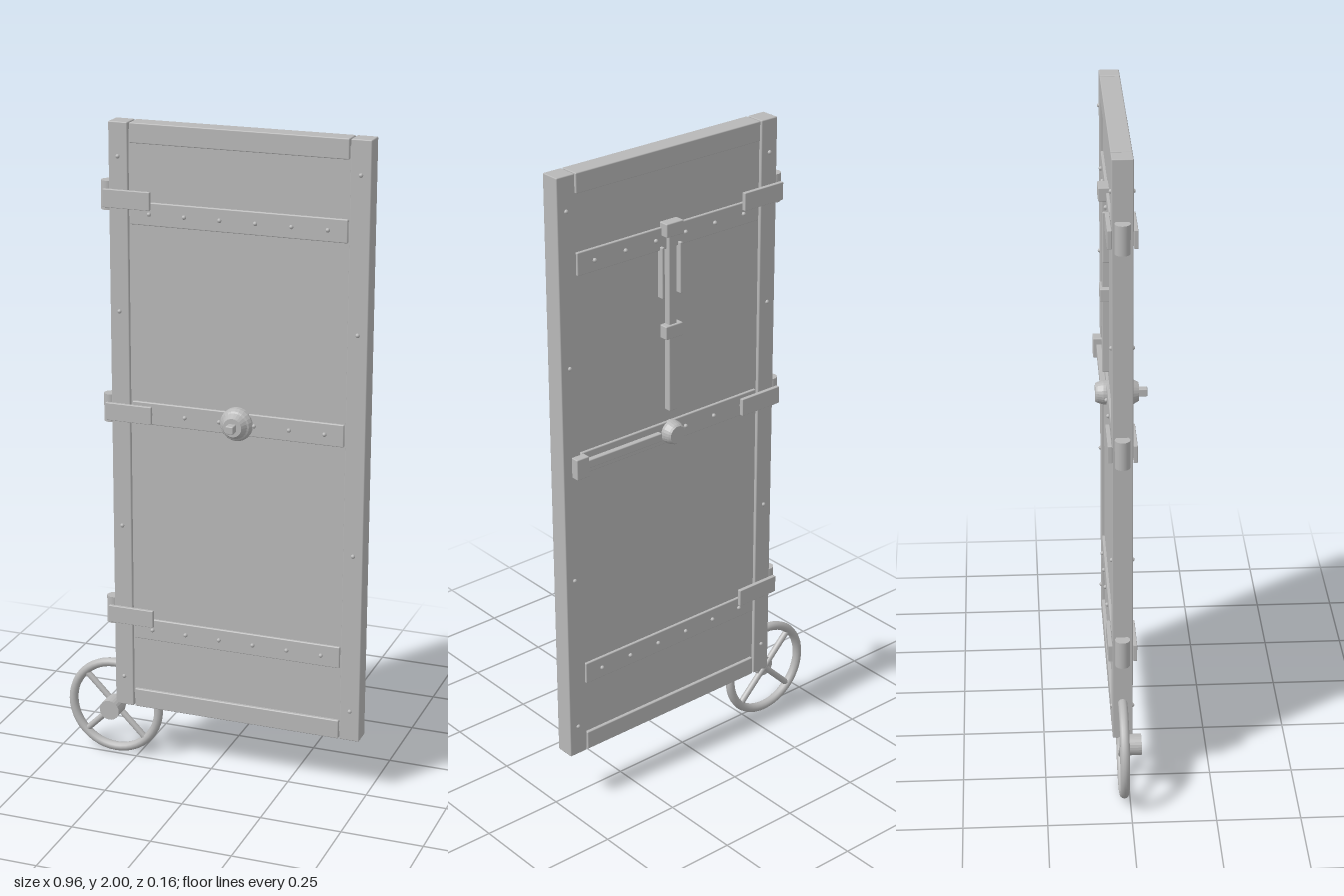
import * as THREE from 'three';
import { RoundedBoxGeometry } from 'three/addons/geometries/RoundedBoxGeometry.js';

const iron = new THREE.MeshStandardMaterial({ color: 0xb8b8b8 });
iron.name = 'iron grey';

export function createModel() {
  const model = new THREE.Group();
  model.name = 'door';

  const add = (name, geometry, x = 0, y = 0, z = 0, parent = model) => {
    const mesh = new THREE.Mesh(geometry, iron);
    mesh.name = name;
    mesh.position.set(x, y, z);
    parent.add(mesh);
    return mesh;
  };
  // Chamfered box given by its limits
  const block = (name, x0, x1, y0, y1, z0, z1, bevel = 0.003) => {
    const g = new RoundedBoxGeometry(x1 - x0, y1 - y0, z1 - z0, 1, bevel);
    return add(name, g, (x0 + x1) / 2, (y0 + y1) / 2, (z0 + z1) / 2);
  };
  // Rivet heads on both faces of the door
  const rivetGeometry = new THREE.SphereGeometry(0.0065, 10, 6);
  const rivet = (x, y, front, back) => {
    add('rivet', rivetGeometry, x, y, front);
    add('rivet', rivetGeometry, x, y, back);
  };
  // Turned part along z; points are [radius, z] from back to front
  const turned = (name, points, x, y, parent) => {
    const g = new THREE.LatheGeometry(points.map(p => new THREE.Vector2(...p)), 24);
    g.rotateX(Math.PI / 2);
    const flat = g.toNonIndexed();
    flat.computeVertexNormals();
    return add(name, flat, x, y, 0, parent);
  };

  // Frame and recessed panel
  const back = -0.049, front = 0.011;
  block('leftStile', 0.415, 0.476, 0.177, 2, back, front);
  block('rightStile', -0.312, -0.253, 0.177, 2, back, front);
  block('topRail', -0.248, 0.411, 1.941, 2, back, front);
  block('bottomRail', -0.248, 0.411, 0.177, 0.236, back, front);
  add('panel', new THREE.BoxGeometry(0.68, 1.78, 0.04), 0.081, 1.088, -0.019);
  for (const x of [-0.283, 0.446])
    for (const y of [0.273, 0.77, 1.44, 1.9]) rivet(x, y, front, back);

  // Riveted cross bands
  for (const y of [0.44, 1.134, 1.737]) {
    block('crossBand', -0.247, 0.41, y - 0.034, y + 0.034, -0.047, 0.009);
    for (let i = 0; i < 6; i++) rivet(-0.188 + i * 0.108, y, 0.01, -0.049);
  }

  // Hinges: barrel with a strap on each face
  for (const y of [0.48, 1.131, 1.777]) {
    add('hingeBarrel', new THREE.CylinderGeometry(0.022, 0.022, 0.086, 20), -0.326, y + 0.003, -0.02);
    block('hingeStrap', -0.328, -0.182, y - 0.027, y + 0.027, front, 0.023, 0.002);
    block('hingeStrap', -0.328, -0.182, y - 0.027, y + 0.027, -0.062, back, 0.002);
  }

  // Lock hub with a square spindle in front and a boss behind
  const hubX = 0.083, hubY = 1.134;
  turned('lockHub', [[0, 0], [0.05, 0], [0.05, 0.016], [0.044, 0.027],
    [0.039, 0.03], [0.028, 0.049], [0, 0.049]], hubX, hubY);
  block('spindle', hubX - 0.012, hubX + 0.012, hubY - 0.012, hubY + 0.012, 0.04, 0.075);
  turned('lockBoss', [[0, -0.08], [0.027, -0.08], [0.031, -0.074],
    [0.036, -0.056], [0.036, -0.04], [0, -0.04]], hubX, hubY);

  // Sliding bolts on the back with their guides
  block('sideBolt', 0.128, 0.44, 1.121, 1.147, -0.063, -0.045);
  block('sideBoltGuide', 0.402, 0.446, 1.102, 1.166, -0.073, -0.045);
  block('upperBolt', hubX - 0.014, hubX + 0.014, 1.205, 1.78, -0.059, -0.036);
  block('upperBoltGuide', hubX - 0.031, hubX + 0.031, 1.745, 1.786, -0.07, -0.036);
  block('upperBoltGuide', hubX - 0.031, hubX + 0.031, 1.435, 1.476, -0.066, -0.036);
  for (const side of [-1, 1]) {
    const x = hubX + side * 0.033;
    block('guideRod', x - 0.005, x + 0.005, 1.56, 1.715, -0.058, -0.036);
  }

  // Spoked handwheel at the lower corner
  const wheel = new THREE.Group();
  wheel.name = 'handwheel';
  wheel.position.set(-0.325, 0.157, 0);
  model.add(wheel);
  add('wheelRim', new THREE.TorusGeometry(0.143, 0.014, 12, 48), 0, 0, -0.019, wheel);
  const spoke = new THREE.CylinderGeometry(0.01, 0.01, 0.286, 10);
  for (const a of [-Math.PI / 4, Math.PI / 4])
    add('wheelSpoke', spoke, 0, 0, -0.019, wheel).rotation.z = a;
  turned('wheelHub', [[0, -0.022], [0.032, -0.022], [0.032, 0.036], [0, 0.036]], 0, 0.003, wheel);

  return model;
}
